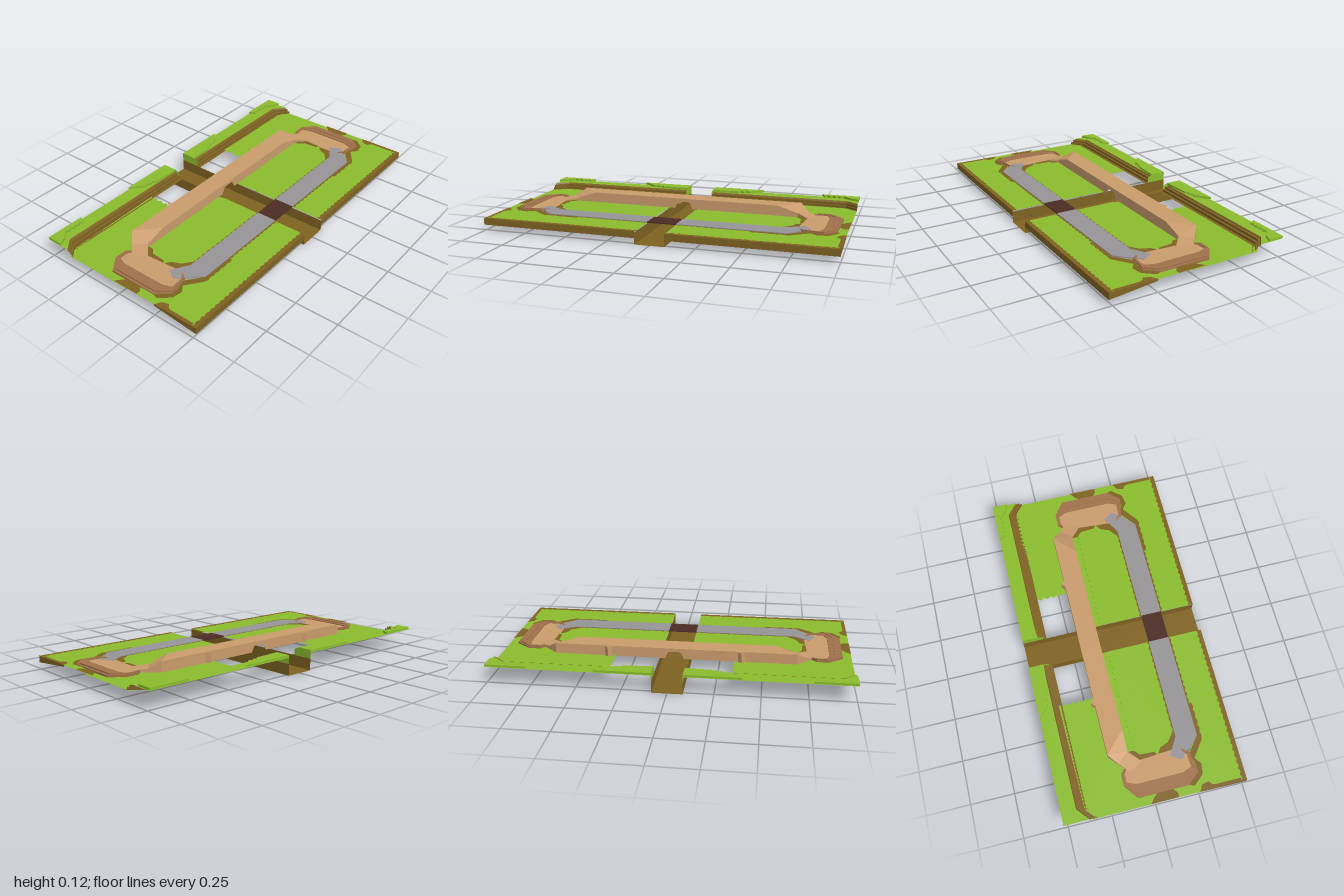
import * as THREE from 'three';

const mat = (name, color) => {
  const m = new THREE.MeshStandardMaterial({ color, side: THREE.DoubleSide, flatShading: true });
  m.name = name;
  return m;
};

// Zigzag points between two ends, used for ragged turf edges
function jag(x0, z0, x1, z1, n, amp) {
  const L = Math.hypot(x1 - x0, z1 - z0), out = [];
  for (let i = 0; i <= n; i++) {
    const t = i / n, o = i % 2 ? amp : 0;
    out.push([x0 + (x1 - x0) * t - ((z1 - z0) / L) * o, z0 + (z1 - z0) * t + ((x1 - x0) / L) * o]);
  }
  return out;
}

// Surface through a row of cross-sections, each a list of [x, y, z]
function loft(sections) {
  const pos = [];
  for (let i = 0; i < sections.length - 1; i++) {
    const a = sections[i], b = sections[i + 1];
    for (let j = 0; j < a.length - 1; j++) {
      pos.push(...a[j], ...b[j], ...b[j + 1], ...a[j], ...b[j + 1], ...a[j + 1]);
    }
  }
  const g = new THREE.BufferGeometry();
  g.setAttribute('position', new THREE.Float32BufferAttribute(pos, 3));
  g.computeVertexNormals();
  return g;
}

// Flat plate from [x, z] points facing up at height y, optionally with thickness
function plate(pts, y, depth = 0) {
  const shape = new THREE.Shape(pts.map(([x, z]) => new THREE.Vector2(x, -z)));
  const g = depth
    ? new THREE.ExtrudeGeometry(shape, { depth, bevelEnabled: false })
    : new THREE.ShapeGeometry(shape);
  return g.rotateX(-Math.PI / 2).translate(0, y - depth, 0);
}

export function createModel() {
  const model = new THREE.Group();
  model.name = 'raceTrackTerrain';
  const grass = mat('grass green', 0x8abc2d);
  const dirt = mat('dirt brown', 0x7f6222);
  const sand = mat('sand tan', 0xc99b6c);
  const clay = mat('clay brown', 0xa0714a);
  const asphalt = mat('asphalt grey', 0x969496);
  const plank = mat('plank dark brown', 0x4a2b22);
  const add = (parent, name, geo, m) => {
    const mesh = new THREE.Mesh(geo, m);
    mesh.name = name;
    parent.add(mesh);
  };

  const LOW = 0.065, HIGH = 0.071, T = 0.085;

  // Trench crossing the middle, open at both ends
  add(model, 'trench', loft([-0.52, 0.52].map(x =>
    [[x, LOW, T], [x, 0, T], [x, 0, -T], [x, LOW, -T]])), dirt);
  // Plank bridge carrying the road over the trench
  add(model, 'plankBridge', new THREE.BoxGeometry(0.12, 0.006, 2 * T).translate(0.26, 0.073, 0), plank);

  // The two ends of the track mirror each other
  for (const s of [1, -1]) {
    const half = new THREE.Group();
    half.name = s > 0 ? 'frontHalf' : 'backHalf';
    model.add(half);
    const P = pts => pts.map(([x, z]) => [x, s * z]);
    const flat = (name, pts, y, m, d) => add(half, name, plate(P(pts), y, d), m);
    const skin = (name, secs, m) =>
      add(half, name, loft(secs.map(q => q.map(([x, y, z]) => [x, y, s * z]))), m);

    // Low lawns, with a gap beside the trench
    flat('leftLawn', [...jag(-0.40, 0.33, -0.2, 0.33, 10, 0.015), [-0.2, 0.69], [-0.12, 0.77], [-0.15, 0.8],
      [-0.15, 0.87], [-0.09, 0.95], [0.05, 0.95], [0.05, 1], [-0.36, 1], [-0.39, 0.93]], LOW, grass);
    flat('rightLawn', [[0.05, 0.95], [0.2, 0.95], [0.27, 0.89], [0.25, 0.77], [0.32, 0.69], [0.32, T],
      [0.52, T], [0.52, 1], [0.05, 1]], HIGH, grass);
    const inner = jag(-0.045, T, -0.045, 0.71, 34, 0.008);
    flat('innerLowLawn', [[-0.085, T], ...inner, [-0.03, 0.75], [-0.085, 0.69]], LOW, grass);
    flat('innerLawn', [...inner, [-0.03, 0.75], [0.17, 0.74], [0.2, 0.68], [0.2, T]], HIGH, grass);
    skin('lawnStep', [inner.map(([x, z]) => [x, LOW, z]), inner.map(([x, z]) => [x, HIGH, z])], grass);

    // Bare earth beside the road, the border and the turns
    const bare = HIGH + 0.0015;
    flat('rightBorder', [[0.52, T], [0.52, 1], ...jag(0.49, 1, 0.49, T, 50, 0.008)], bare, dirt);
    flat('roadEdgeOuter', [[0.32, T], [0.32, 0.69], [0.25, 0.78], [0.26, 0.83], [0.28, 0.8],
      ...jag(0.34, 0.72, 0.34, 0.5, 10, 0.006), ...jag(0.325, 0.5, 0.325, T, 22, 0.008)], bare, dirt);
    flat('roadEdgeInner', [[0.2, T], [0.2, 0.68], [0.17, 0.74], [0.08, 0.74], [0.1, 0.71], [0.15, 0.69],
      ...jag(0.19, 0.64, 0.19, T, 28, 0.006)], bare, dirt);
    flat('turnEdgeInner', [[-0.085, 0.69], [-0.03, 0.755], [0.08, 0.75], [0.06, 0.725], [-0.02, 0.72], [-0.05, 0.69]],
      bare, dirt);
    flat('turnEdgeOuter', [[0.2, 0.95], [0.27, 0.89], [0.26, 0.8], [0.3, 0.85], [0.29, 0.91], [0.23, 0.96]], bare, dirt);
    flat('endPatch', [[-0.03, 1], [0.0, 0.965], [0.02, 0.95], [0.11, 0.95], [0.13, 0.975], [0.13, 1]], bare, dirt);
    flat('cornerPatch', [[0.25, 1], [0.27, 0.965], ...jag(0.31, 0.955, 0.34, 0.98, 2, 0.006), [0.49, 0.98], [0.49, 1]],
      bare, dirt);

    // Earth skirt under the outer border
    skin('borderSkirt', [[[0.52, bare, T], [0.52, 0.035, T]], [[0.52, bare, 1], [0.52, 0.035, 1]],
      [[0.25, bare, 1], [0.25, 0.062, 1]]], dirt);

    // Raised terrace with earth steps down to the lawn
    const rows = [[T, 0], [0.93, 0], [1, 0.06]];
    flat('terrace', [[-0.52, T], ...rows.map(([z, o]) => [-0.435 + o, z]), [-0.52, 1]], 0.1, grass);
    skin('terraceSteps', rows.map(([z, o]) => [[-0.435, 0.1], [-0.43, 0.092], [-0.415, 0.092], [-0.415, 0.079],
      [-0.4, 0.079], [-0.4, LOW], [-0.38, LOW]].map(([x, y]) => [x + o, y, z])), dirt);
    flat('terraceEndLayer', [[-0.52, 0.77], ...jag(-0.48, 0.79, -0.48, 0.92, 8, 0.012), [-0.45, 0.95], [-0.43, 1],
      [-0.52, 1]], 0.115, grass, 0.012);
    flat('terraceMiddleLayer', [[-0.52, T], [-0.43, T], ...jag(-0.44, 0.25, -0.455, 0.32, 4, 0.012), [-0.52, 0.4]],
      0.115, grass, 0.012);
    skin('terraceEndWall', [[[-0.52, LOW, T], [-0.52, 0.115, T]], [[-0.43, LOW, T], [-0.43, 0.115, T]],
      [[-0.4, LOW, T], [-0.4, 0.1, T]]], grass);

    // Raised sand causeway with a culvert in the middle and a ramp at the end
    const mid = [[0, 0.105], [0.035, 0.105], [0.055, LOW], [T, LOW]].map(([z, b]) =>
      [[-0.2, b, z], [-0.2, 0.125, z], [-0.085, 0.125, z], [-0.085, b, z]]);
    skin('causeway', [...mid,
      [[-0.2, LOW, 0.69], [-0.2, 0.125, 0.69], [-0.085, 0.125, 0.57], [-0.085, LOW, 0.57]],
      [[-0.15, LOW, 0.745], [-0.15, 0.085, 0.745], [-0.085, 0.088, 0.69], [-0.085, LOW, 0.69]],
      [[-0.1, LOW, 0.8], [-0.1, 0.0755, 0.8], [-0.02, 0.0755, 0.76], [-0.02, LOW, 0.76]]], sand);
    add(half, 'causewayPillar',
      new THREE.CylinderGeometry(0.02, 0.02, 0.058, 4).translate(-0.2, 0.094, s * 0.38), sand);

    // Grey road, bending in to the turn
    skin('road', [[0.2, T, 0.32, T], [0.2, 0.67, 0.32, 0.69], [0.14, 0.77, 0.2, 0.805]].map(([a, za, b, zb]) =>
      [[a, HIGH, za], [a, 0.0765, za], [b, 0.0765, zb], [b, HIGH, zb]]), asphalt);

    // Sand turn with a stepped clay bank round the outside
    const rim = [[-0.1, 0.75], [-0.15, 0.8], [-0.15, 0.87], [-0.09, 0.95], [0.2, 0.95], [0.27, 0.89], [0.25, 0.77],
      [0.2, 0.73]];
    const bed = [[-0.1, 0.755], [-0.13, 0.805], [-0.13, 0.855], [-0.08, 0.875], [0.19, 0.875], [0.24, 0.855],
      [0.235, 0.78], [0.19, 0.735]];
    const between = t => rim.map(([x, z], i) => [x + (bed[i][0] - x) * t, z + (bed[i][1] - z) * t]);
    flat('turnBed', bed, 0.074, sand);
    const lift = (pts, y) => pts.map(([x, z], i) => [x, i % 7 ? y : Math.min(y, 0.074), z]);
    skin('turnBank', [lift(rim, 0.076), lift(between(0.2), 0.076), lift(between(0.2), 0.083), lift(between(0.6), 0.083),
      lift(between(0.6), 0.079), lift(bed, 0.079), lift(bed, 0.074)], clay);
    skin('turnBankSide', [lift(rim, 0.076), lift(rim, LOW)], clay);
  }
  return model;
}
